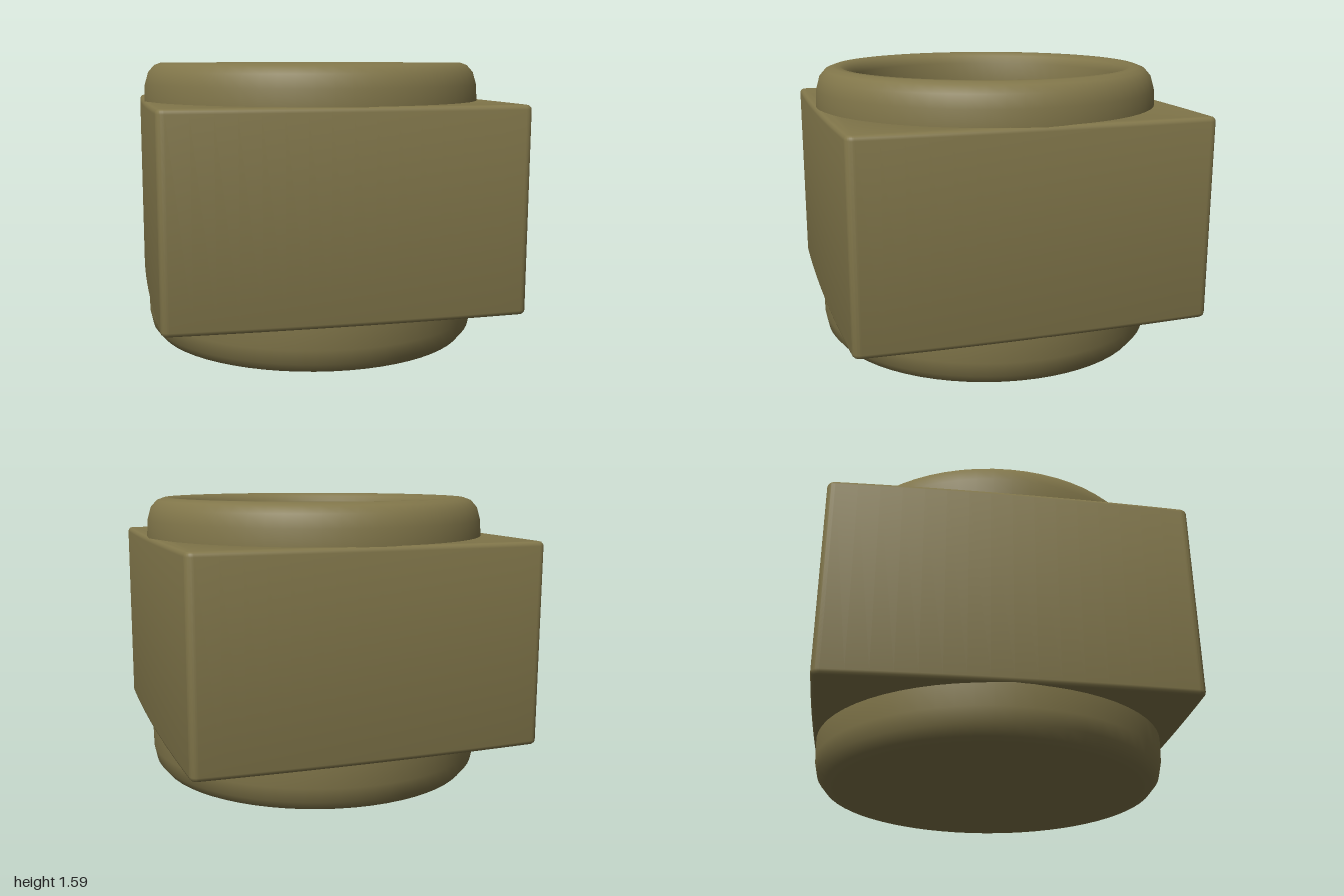
import * as THREE from 'three';
import { toCreasedNormals } from 'three/addons/utils/BufferGeometryUtils.js';

export function createModel() {
  const group = new THREE.Group();
  const olive = new THREE.MeshStandardMaterial({ color: 0x81764a });
  olive.name = 'olive';

  // Round cup running through the block: base, outer wall, rounded rim, bore and floor
  const profile = [
    [0, 0.015], [0.84, 0.015], [0.91, 0.03], [0.95, 0.08], [0.967, 0.16], [0.97, 0.28],
    [0.97, 1.39], [0.965, 1.48], [0.945, 1.55], [0.91, 1.59], [0.87, 1.605], [0.83, 1.605],
    [0.79, 1.585], [0.77, 1.54], [0.765, 1.4], [0.755, 0.4], [0.73, 0.28], [0.66, 0.23], [0, 0.22],
  ].map(([r, y]) => new THREE.Vector2(r, y));
  const cup = new THREE.Mesh(toCreasedNormals(new THREE.LatheGeometry(profile, 64), 0.7), olive);
  cup.name = 'cup';
  cup.scale.z = 1.01;
  group.add(cup);

  // Square block with gently bulged sides and small rounded corners
  const bevel = 0.025, c = 0.935, n = 0.915, side = 0.975;
  const outline = new THREE.Shape();
  outline.moveTo(-n, -c);
  outline.quadraticCurveTo(0, -side, n, -c);
  outline.quadraticCurveTo(c, -c, c, -n);
  outline.quadraticCurveTo(side, 0, c, n);
  outline.quadraticCurveTo(c, c, n, c);
  outline.quadraticCurveTo(0, side, -n, c);
  outline.quadraticCurveTo(-c, c, -c, n);
  outline.quadraticCurveTo(-side, 0, -c, -n);
  outline.quadraticCurveTo(-c, -c, -n, -c);
  const bore = new THREE.Path();
  bore.absarc(0, 0, 0.9, 0, Math.PI * 2, true);
  outline.holes.push(bore);

  const bottom = 0.28, top = 1.39;
  const blockGeometry = new THREE.ExtrudeGeometry(outline, {
    depth: top - bottom - 2 * bevel, bevelEnabled: true, bevelSize: bevel,
    bevelThickness: bevel, bevelSegments: 3, curveSegments: 16,
  });
  blockGeometry.rotateX(-Math.PI / 2);
  blockGeometry.translate(0, bottom + bevel, 0);
  blockGeometry.scale(1, 1, 1.015);
  const block = new THREE.Mesh(toCreasedNormals(blockGeometry, 0.6), olive);
  block.name = 'squareBlock';
  group.add(block);

  return group;
}
